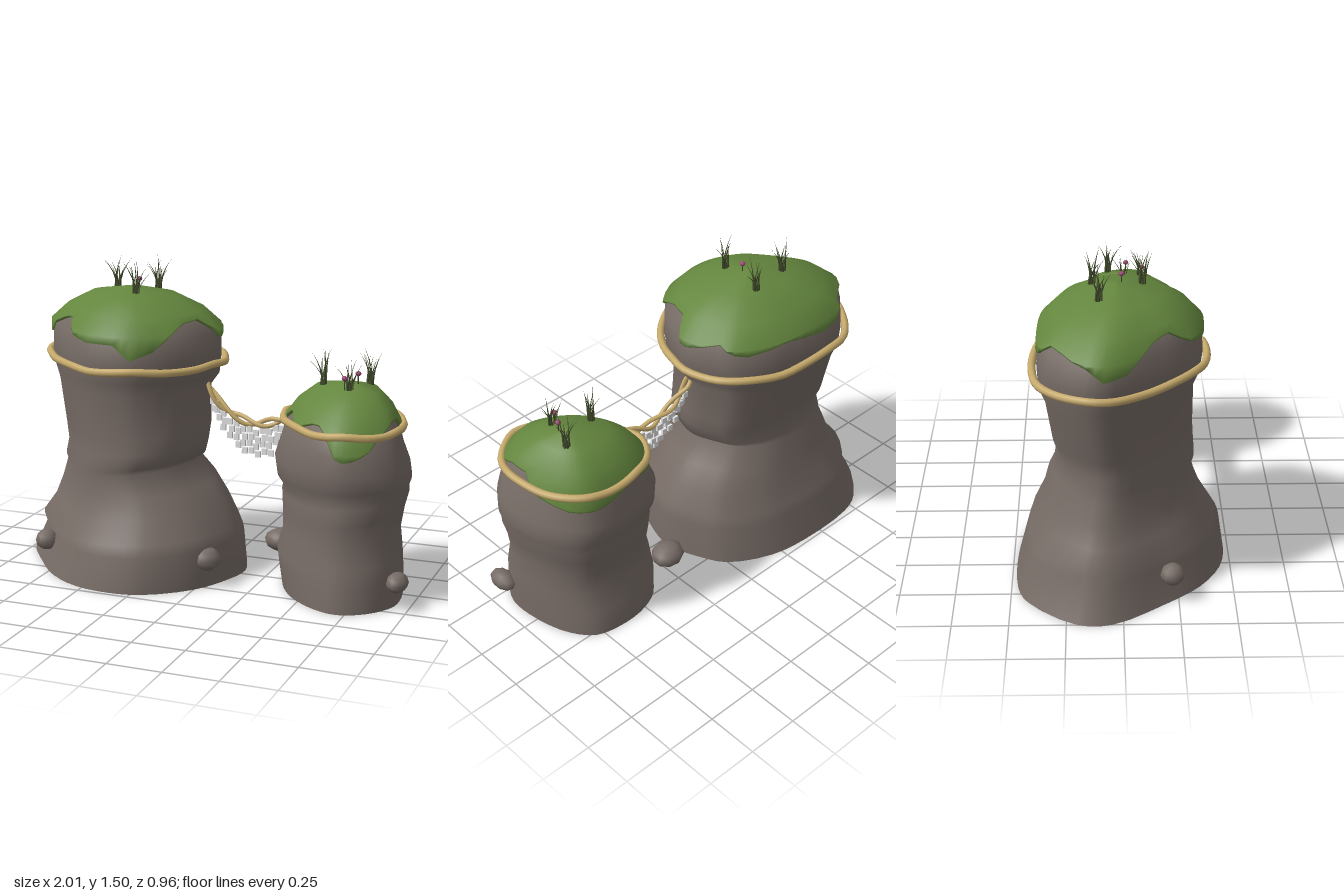
import * as THREE from 'three';

const mat = (name, color, side = THREE.FrontSide) => Object.assign(new THREE.MeshStandardMaterial({ color, side }), { name });
const rockMat = mat('stone', 0x776c66);
const mossMat = mat('moss', 0x64863e, THREE.DoubleSide);
const ropeMat = mat('straw rope', 0xc6aa6c);
const paperMat = mat('white paper', 0xe4e4e4);
const grassMat = mat('grass', 0x414c2a);
const flowerMat = mat('pink flower', 0x9a4a72);
const COLS = 48;

let seed = 7;
const rand = () => (seed = (seed * 16807) % 2147483647) / 2147483647;

// Plan outlines in -1..1, from +x round to +z; rings are [y, xMin, xMax, zMin, zMax]
const plan = (pts) => new THREE.CatmullRomCurve3(pts.map(([x, z]) => new THREE.Vector3(x, 0, z)), true);
const bigRock = {
  skew: 0.03, skewTop: 0.95,
  plan: plan([[1, -.1], [.95, .2], [.77, .62], [.42, .94], [.15, 1], [-.17, .94], [-.47, .73], [-.73, .38],
    [-1, -.1], [-1, -.42], [-.68, -.88], [-.47, -.98], [.06, -1], [.42, -.93], [.77, -.7], [.9, -.45]]),
  rings: [[0, -1, .13, -.48, .48], [.17, -.92, .12, -.43, .455], [.22, -.94, .1, -.415, .43], [.32, -.87, .05, -.365, .37],
    [.42, -.83, -.02, -.34, .335], [.52, -.795, -.11, -.3, .31], [.55, -.8, -.07, -.3, .33], [.62, -.78, -.05, -.28, .325],
    [.7, -.8, -.045, -.31, .32], [.9, -.84, -.05, -.34, .32], [.96, -.86, -.01, -.365, .35], [1.05, -.87, 0, -.37, .36],
    [1.17, -.865, 0, -.355, .35], [1.25, -.77, -.09, -.28, .28], [1.32, -.63, -.23, -.16, .17], [1.355, -.42, -.42, -.02, -.02]],
  hem: [[0, 1.14], [.03, 1.15], [.05, 1.23], [.11, 1.22], [.14, 1.18], [.17, 1.1], [.21, 1.07], [.25, 1.14], [.32, 1.14],
    [.36, 1.17], [.4, 1.23], [.45, 1.2], [.48, 1.12], [.52, 1.1], [.56, 1.16], [.62, 1.2], [.7, 1.12], [.78, 1.17],
    [.86, 1.14], [.92, 1.19], [.97, 1.16], [1, 1.14]],
};
const smallRock = {
  skew: 0.03, skewTop: 0.7,
  plan: plan([[1, .05], [.98, .45], [.7, .82], [.3, 1], [-.07, .92], [-.55, .6], [-.85, .2], [-1, -.2], [-1, -.5],
    [-.75, -.82], [-.38, -.97], [.07, -1], [.53, -.9], [.83, -.55]]),
  rings: [[0, .33, .93, -.3, .37], [.12, .315, .93, -.28, .36], [.2, .31, .93, -.24, .345], [.3, .335, .915, -.24, .33],
    [.4, .33, .93, -.26, .335], [.48, .325, .95, -.27, .345], [.51, .33, .945, -.265, .33], [.55, .3, .96, -.28, .355],
    [.63, .29, .95, -.28, .37], [.72, .325, .92, -.25, .355], [.8, .35, .895, -.24, .33], [.88, .41, .85, -.19, .26],
    [.95, .5, .78, -.11, .15], [.985, .67, .67, .02, .02]],
  hem: [[0, .84], [.06, .84], [.11, .8], [.15, .73], [.2, .69], [.23, .71], [.26, .8], [.3, .84], [.36, .8], [.43, .85],
    [.5, .76], [.55, .8], [.62, .73], [.72, .78], [.82, .72], [.9, .73], [.97, .77], [1, .84]],
};

// Piecewise-linear lookup of rows keyed by their first number
function lookup(rows, k) {
  let i = 1;
  while (i < rows.length - 1 && rows[i][0] < k) i++;
  const a = rows[i - 1], b = rows[i];
  const t = THREE.MathUtils.clamp((k - a[0]) / (b[0] - a[0]), 0, 1);
  return a.map((v, j) => v + (b[j] - v) * t);
}

// Point on a rock at fraction u round it and height y, pushed out by d
function surf(rock, u, y, d = 0, lift = 0) {
  const [, x0, x1, z0, z1] = lookup(rock.rings, y);
  const p = rock.plan.getPoint(u);
  const w = y < rock.skewTop ? Math.sin(Math.PI * y / rock.skewTop) : 0;
  const grow = x1 - x0 > 0.01 ? d : 0;
  return new THREE.Vector3((x0 + x1) / 2 + p.x * ((x1 - x0) / 2 + grow),
    y + lift + rock.skew * w * Math.cos(2 * Math.PI * u + 0.4),
    (z0 + z1) / 2 + p.z * ((z1 - z0) / 2 + grow));
}

// Skin closed loops of points, listed bottom to top
function loft(loops, bottom) {
  const pos = loops.flat().flatMap((p) => [p.x, p.y, p.z]);
  const idx = [], n = COLS;
  for (let i = 0; i < loops.length - 1; i++) for (let j = 0; j < n; j++) {
    const k = (j + 1) % n, a = i * n + j, b = i * n + k, c = a + n, d = b + n;
    idx.push(a, c, b, b, c, d);
  }
  if (bottom) {
    const start = pos.length / 3, mid = new THREE.Vector3();
    loops[0].forEach((p) => { pos.push(p.x, p.y, p.z); mid.addScaledVector(p, 1 / n); });
    pos.push(mid.x, mid.y, mid.z);
    for (let j = 0; j < n; j++) idx.push(start + n, start + j, start + (j + 1) % n);
  }
  const g = new THREE.BufferGeometry();
  g.setAttribute('position', new THREE.Float32BufferAttribute(pos, 3));
  g.setIndex(idx);
  g.computeVertexNormals();
  return g;
}
const loop = (f) => Array.from({ length: COLS }, (_, j) => f(j / COLS));

function add(parent, name, geometry, material, x = 0, y = 0, z = 0) {
  const m = new THREE.Mesh(geometry, material);
  m.name = name;
  m.position.set(x, y, z);
  parent.add(m);
  return m;
}

function buildRock(parent, name, rock, ropeY) {
  const g = new THREE.Group();
  g.name = name;
  parent.add(g);
  add(g, 'rockBody', loft(rock.rings.map((r) => loop((u) => surf(rock, u, r[0]))), true), rockMat);

  // Moss cap with a ragged, slightly thick hem
  const hem = (u) => lookup(rock.hem, u)[1];
  const low = Math.min(...rock.hem.map((h) => h[1]));
  const levels = rock.rings.map((r) => r[0]).filter((y) => y > low);
  const loops = [loop((u) => surf(rock, u, hem(u), -0.005)), loop((u) => surf(rock, u, hem(u), 0.012, 0.004)),
    ...levels.map((y) => loop((u) => surf(rock, u, Math.max(y, hem(u)), 0.012, 0.01)))];
  add(g, 'mossCap', loft(loops), mossMat);

  // Rope tied round the rock
  const pts = Array.from({ length: 20 }, (_, i) => {
    const p = surf(rock, i / 20, ropeY, 0.022);
    p.y = ropeY + 0.006 * Math.sin(i * 1.9);
    return p;
  });
  add(g, 'ropeRing', new THREE.TubeGeometry(new THREE.CatmullRomCurve3(pts, true), 60, 0.018, 8, true), ropeMat);
}

// Thin blade bending over in +x
function blade(length, bend) {
  const g = new THREE.ConeGeometry(0.006, length, 4, 4, true).translate(0, length / 2, 0);
  const p = g.attributes.position;
  for (let i = 0; i < p.count; i++) p.setX(i, p.getX(i) + bend * (p.getY(i) / length) ** 2);
  g.computeVertexNormals();
  return g;
}

function grassClump(parent, x, y, z) {
  const g = new THREE.Group();
  g.name = 'grassClump';
  g.position.set(x, y, z);
  parent.add(g);
  for (let i = 0; i < 9; i++) {
    const m = add(g, 'grassBlade', blade(0.09 + 0.08 * rand(), 0.015 + 0.06 * rand()), grassMat);
    m.rotation.y = i * 2.4 + rand();
    m.position.set(0.012 * Math.cos(i), -0.01, 0.012 * Math.sin(i));
  }
}

function flower(parent, x, y, z) {
  add(parent, 'flowerStem', new THREE.CylinderGeometry(0.003, 0.003, 0.05, 5), grassMat, x, y + 0.015, z);
  add(parent, 'flowerHead', new THREE.SphereGeometry(0.014, 8, 6), flowerMat, x, y + 0.043, z).scale.y = 0.8;
}

export function createModel() {
  const root = new THREE.Group();
  root.name = 'ropedRocks';
  buildRock(root, 'largeRock', bigRock, 1.02);
  buildRock(root, 'smallRock', smallRock, 0.805);

  // Loose boulders at the feet
  for (const [x, z, rx, ry, rz] of [[-.8, .22, .055, .05, .055], [.03, .21, .07, .058, .07],
    [.265, -.19, .085, .055, .075], [.95, .21, .05, .045, .075]]) {
    add(root, 'boulder', new THREE.SphereGeometry(1, 9, 6), rockMat, x, .13, z).scale.set(rx, ry, rz);
  }

  // Two twisted strands sagging between the rocks
  const sag = new THREE.CatmullRomCurve3([[-.06, .94, -.01], [0, .85, 0], [.1, .78, .01], [.2, .752, .015],
    [.3, .772, .02], [.39, .81, .02]].map((p) => new THREE.Vector3(...p)));
  for (const phase of [0, Math.PI]) {
    const pts = Array.from({ length: 31 }, (_, i) => {
      const a = i / 30 * Math.PI * 4 + phase;
      return sag.getPoint(i / 30).add(new THREE.Vector3(0, 0.016 * Math.cos(a), 0.014 * Math.sin(a)));
    });
    add(root, 'bridgeStrand', new THREE.TubeGeometry(new THREE.CatmullRomCurve3(pts), 60, 0.011, 7), ropeMat);
  }

  // Stepped paper streamers under the strands
  const paper = new THREE.BoxGeometry(0.026, 0.03, 0.012);
  [2, 2, 3, 3, 4, 4, 4, 4, 4, 4, 3, 3].forEach((count, i) => {
    const p = sag.getPoint(0.15 + 0.066 * i);
    for (let k = 0; k < count; k++) {
      const m = add(root, 'paperStreamer', paper, paperMat, p.x + (k % 2 ? 0.009 : -0.004),
        p.y - 0.035 - k * 0.033 - (i % 2) * 0.012, p.z + (k % 2 ? 0.004 : -0.004));
      m.rotation.z = 0.08 * (rand() - 0.5);
    }
  });

  // Grass and flowers on the tops
  for (const p of [[-.55, 1.345, -.1], [-.35, 1.345, -.13], [-.37, 1.345, .09],
    [.53, .975, .02], [.73, .975, -.05], [.68, .965, .11]]) grassClump(root, ...p);
  for (const p of [[-.39, 1.355, 0], [.7, .99, .04], [.66, .98, .12]]) flower(root, ...p);
  return root;
}
